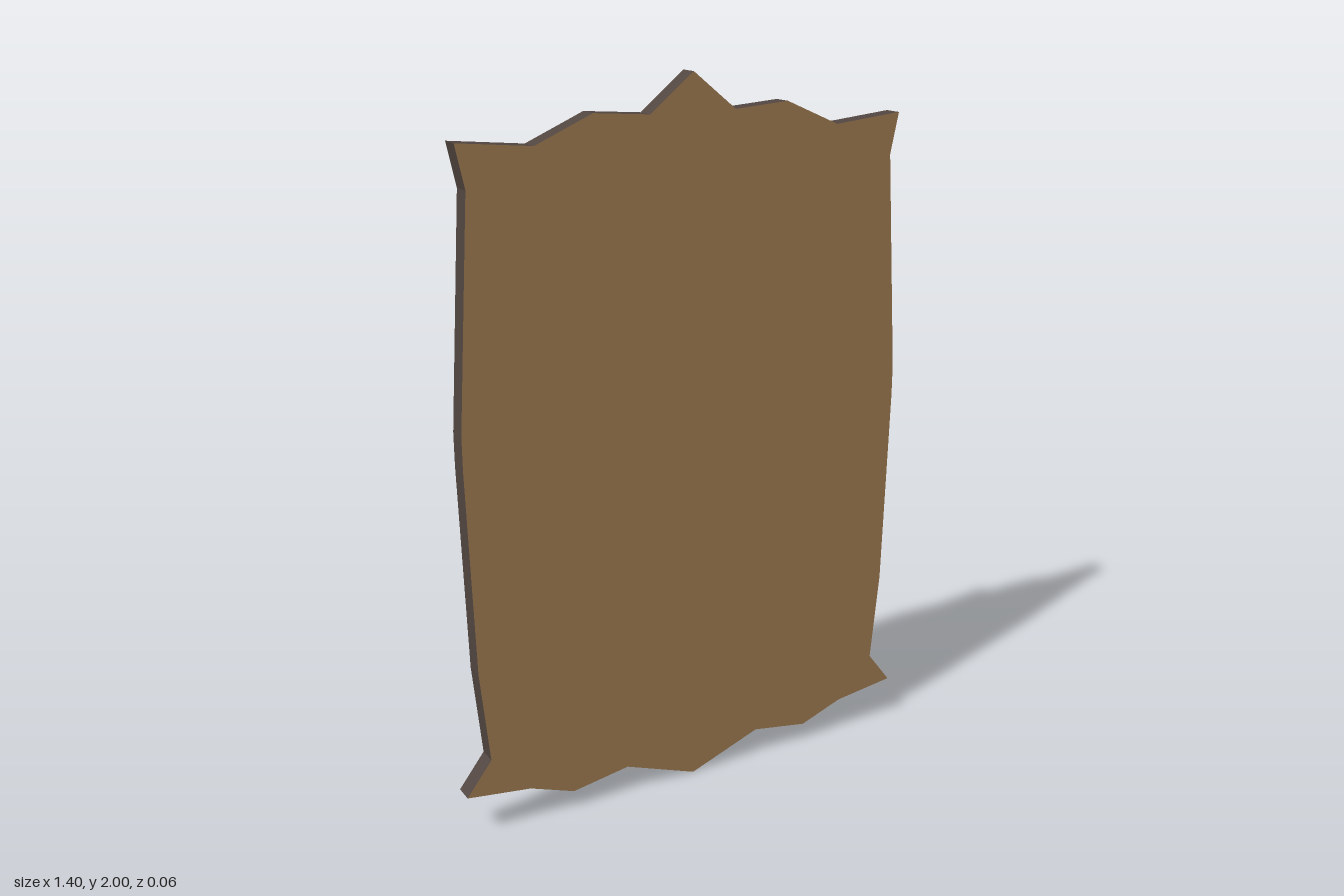
import * as THREE from 'three';

const THICKNESS = 0.054;

// Closed shape from its +x half, listed from top to bottom, mirrored to -x
function mirroredShape(half) {
  const other = half.filter(([x]) => x > 0).reverse().map(([x, y]) => [-x, y]);
  return new THREE.Shape([...half, ...other].reverse().map(([x, y]) => new THREE.Vector2(x, y)));
}

export function createModel() {
  const tan = new THREE.MeshStandardMaterial({ name: 'tan front', color: 0xac8558 });
  const red = new THREE.MeshStandardMaterial({ name: 'dark red back', color: 0x9e2123 });
  const brown = new THREE.MeshStandardMaterial({ name: 'ochre patch', color: 0x9e723e });
  const dark = new THREE.MeshStandardMaterial({ name: 'dark brown edge', color: 0x524641 });

  const group = new THREE.Group();
  group.name = 'raggedPanel';

  // Slab with a ragged top and bottom and slightly bulging sides
  const outline = mirroredShape([
    [0, 2], [0.125, 1.9], [0.285, 1.912], [0.445, 1.843], [0.65, 1.863],
    [0.626, 1.75], [0.667, 1.14], [0.667, 1.05], [0.652, 0.48], [0.627, 0.22],
    [0.7, 0.125], [0.515, 0.1], [0.385, 0.052], [0.215, 0.08], [0, 0],
  ]);
  const slab = new THREE.ExtrudeGeometry(outline, { depth: THICKNESS, bevelEnabled: false });
  slab.translate(0, 0, -THICKNESS / 2);

  // Separate the two lids so back, front and edge each get a colour
  const [lids, edge] = slab.groups.map((g) => ({ ...g }));
  slab.clearGroups();
  slab.addGroup(lids.start, lids.count / 2, 0);
  slab.addGroup(lids.start + lids.count / 2, lids.count / 2, 1);
  slab.addGroup(edge.start, edge.count, 2);
  const panel = new THREE.Mesh(slab, [red, tan, dark]);
  panel.name = 'panel';
  group.add(panel);

  // Rounded patch on the back
  const patchShape = mirroredShape([
    [0.2, 1.456], [0.435, 1.372], [0.475, 1.345], [0.525, 1.28],
    [0.525, 0.375], [0.475, 0.34], [0.43, 0.324], [0.2, 0.297],
  ]);
  const patch = new THREE.Mesh(
    new THREE.ExtrudeGeometry(patchShape, { depth: 0.003, bevelEnabled: false }), brown);
  patch.position.z = -THICKNESS / 2 - 0.002;
  patch.name = 'backPatch';
  group.add(patch);

  return group;
}
